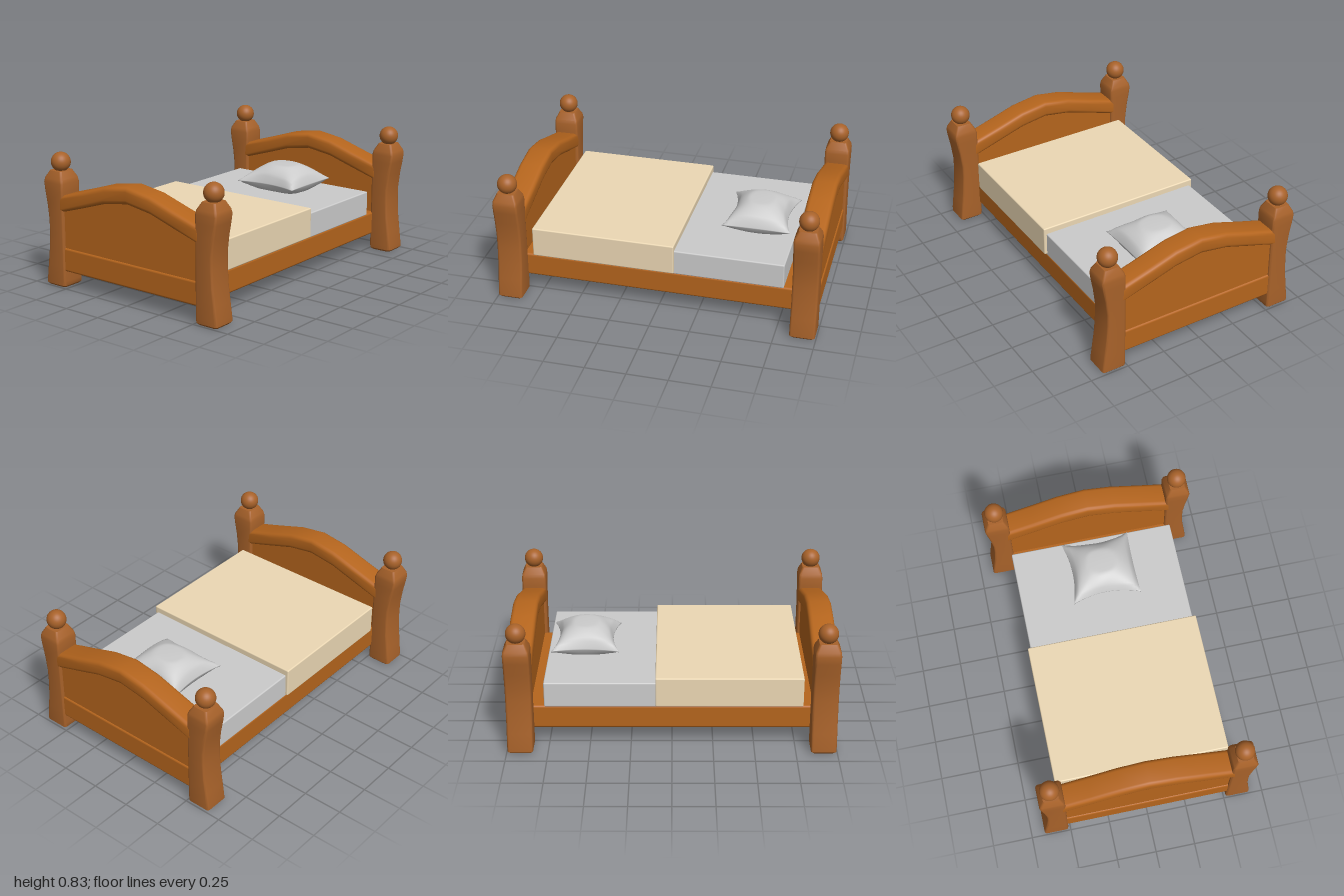
import * as THREE from 'three';
import { RoundedBoxGeometry } from 'three/addons/geometries/RoundedBoxGeometry.js';
import { mergeVertices, toCreasedNormals } from 'three/addons/utils/BufferGeometryUtils.js';

const wood = new THREE.MeshStandardMaterial({ color: 0xb5651d });
const postWood = new THREE.MeshStandardMaterial({ color: 0xa8622a });
const linen = new THREE.MeshStandardMaterial({ color: 0xcccccc });
const blanketCloth = new THREE.MeshStandardMaterial({ color: 0xecd8b4 });

const END_Z = 0.917;

function part(name, geometry, material, x = 0, y = 0, z = 0) {
  const mesh = new THREE.Mesh(geometry, material);
  mesh.name = name;
  mesh.position.set(x, y, z);
  return mesh;
}

// Soft-edged box given by its limits
function softBox(name, material, x0, x1, y0, y1, z0, z1, r) {
  const geo = new RoundedBoxGeometry(x1 - x0, y1 - y0, z1 - z0, 3, r);
  return part(name, geo, material, (x0 + x1) / 2, (y0 + y1) / 2, (z0 + z1) / 2);
}

// Post: rounded rectangles stacked along y, straight inside, waisted outside
function postGeometry() {
  const rows = [ // y, inner x, outer x, half depth
    [0, 0.525, 0.655, 0.066], [0.012, 0.514, 0.666, 0.077], [0.04, 0.512, 0.665, 0.078],
    [0.13, 0.512, 0.653, 0.078], [0.23, 0.512, 0.64, 0.078], [0.34, 0.512, 0.633, 0.078],
    [0.42, 0.512, 0.633, 0.078], [0.52, 0.512, 0.645, 0.078], [0.6, 0.512, 0.66, 0.078],
    [0.65, 0.512, 0.667, 0.078], [0.675, 0.518, 0.661, 0.075], [0.72, 0.542, 0.638, 0.054],
  ];
  const r = 0.014, arc = 4, n = 4 * arc;
  const pos = [], index = [];
  for (const [y, x0, x1, h] of rows) {
    const cx = (x0 + x1) / 2, w = (x1 - x0) / 2;
    for (let c = 0; c < 4; c++) {
      const sx = c === 0 || c === 3 ? 1 : -1, sz = c < 2 ? 1 : -1;
      for (let k = 0; k < arc; k++) {
        const a = (c + k / (arc - 1)) * Math.PI / 2;
        pos.push(cx + sx * (w - r) + r * Math.cos(a) - 0.59, y, sz * (h - r) + r * Math.sin(a));
      }
    }
  }
  for (let i = 0; i < rows.length - 1; i++) {
    for (let j = 0; j < n; j++) {
      const a = i * n + j, b = i * n + (j + 1) % n;
      index.push(a, a + n, b, b, a + n, b + n);
    }
  }
  const top = (rows.length - 1) * n;
  for (let j = 1; j < n - 1; j++) {
    index.push(0, j, j + 1, top, top + j + 1, top + j);
  }
  const geo = new THREE.BufferGeometry();
  geo.setAttribute('position', new THREE.Float32BufferAttribute(pos, 3));
  geo.setIndex(index);
  return toCreasedNormals(geo, 0.7);
}

// Arched outline of the end boards
const arch = [[-0.55, 0.572], [-0.35, 0.633], [-0.175, 0.689], [0, 0.716],
  [0.175, 0.689], [0.35, 0.633], [0.55, 0.572]];

function boardGeometry(lower, drop, depth, bevel) {
  const upper = arch.map(([x, y]) => new THREE.Vector2(x, y - drop));
  const shape = new THREE.Shape([...lower, ...upper.reverse()]);
  const geo = new THREE.ExtrudeGeometry(shape, {
    depth: depth - 2 * bevel, bevelEnabled: bevel > 0, bevelThickness: bevel,
    bevelSize: bevel, bevelOffset: -bevel, bevelSegments: 4,
  });
  geo.translate(0, 0, bevel - depth / 2);
  return toCreasedNormals(geo, 0.6);
}

// Pillow: a box puffed in the middle, pinched to a seam with drawn-out corners
function pillowGeometry() {
  const box = new THREE.BoxGeometry(2, 2, 2, 24, 1, 24);
  box.deleteAttribute('uv');
  box.deleteAttribute('normal');
  const geo = mergeVertices(box);
  const p = geo.attributes.position;
  for (let i = 0; i < p.count; i++) {
    const u = p.getX(i), v = p.getZ(i), up = p.getY(i) > 0;
    const dome = Math.pow((1 - u * u) * (1 - v * v), 0.55);
    const crease = 0.012 * Math.sin(7 * u + 3 * v) * Math.pow(Math.max(Math.abs(u), Math.abs(v)), 4) * dome;
    const pullX = 1 - (u < 0 ? 0.15 : 0.03) * (1 - v * v);
    const pullZ = 1 - 0.2 * (1 - u * u);
    const y = up ? 0.003 + Math.min(0.125 * dome, 0.09 + 0.02 * dome) + crease
      : -0.003 - Math.min(0.09 * dome, 0.052);
    p.setXYZ(i, 0.218 * u * pullX, y, 0.212 * v * pullZ);
  }
  geo.computeVertexNormals();
  return geo;
}

export function createModel() {
  const bed = new THREE.Group();
  bed.name = 'bed';

  // Bed base with its rails
  bed.add(softBox('bedBase', wood, -0.526, 0.526, 0.105, 0.255, -0.985, 0.985, 0.014));

  // Headboard and footboard
  const panelGeo = boardGeometry([new THREE.Vector2(-0.55, 0.15), new THREE.Vector2(0.55, 0.15)], 0.06, 0.12, 0);
  const underside = arch.map(([x, y]) => new THREE.Vector2(x, y - 0.103));
  const capGeo = boardGeometry(underside, 0, 0.158, 0.026);
  for (const [name, z] of [['headboard', -END_Z], ['footboard', END_Z]]) {
    const board = new THREE.Group();
    board.name = name;
    board.position.z = z;
    board.add(part('panel', panelGeo, wood), part('archedRail', capGeo, wood));
    bed.add(board);
  }

  // Corner posts with ball finials
  const postGeo = postGeometry();
  const ballGeo = new THREE.SphereGeometry(0.06, 32, 20);
  for (const sx of [1, -1]) {
    for (const sz of [1, -1]) {
      const post = new THREE.Group();
      post.name = (sz > 0 ? 'front' : 'back') + (sx > 0 ? 'Left' : 'Right') + 'Post';
      post.position.set(sx * 0.59, 0, sz * END_Z);
      post.rotation.y = sx > 0 ? 0 : Math.PI;
      post.add(part('shaft', postGeo, postWood), part('ballFinial', ballGeo, postWood, 0, 0.769, 0));
      bed.add(post);
    }
  }

  // Bedding
  bed.add(softBox('mattress', linen, -0.528, 0.528, 0.25, 0.41, -0.775, 0.78, 0.008));
  bed.add(softBox('blanket', blanketCloth, -0.546, 0.546, 0.26, 0.45, -0.1, 0.795, 0.008));
  bed.add(part('pillow', pillowGeometry(), linen, 0.018, 0.46, -0.54));
  return bed;
}
